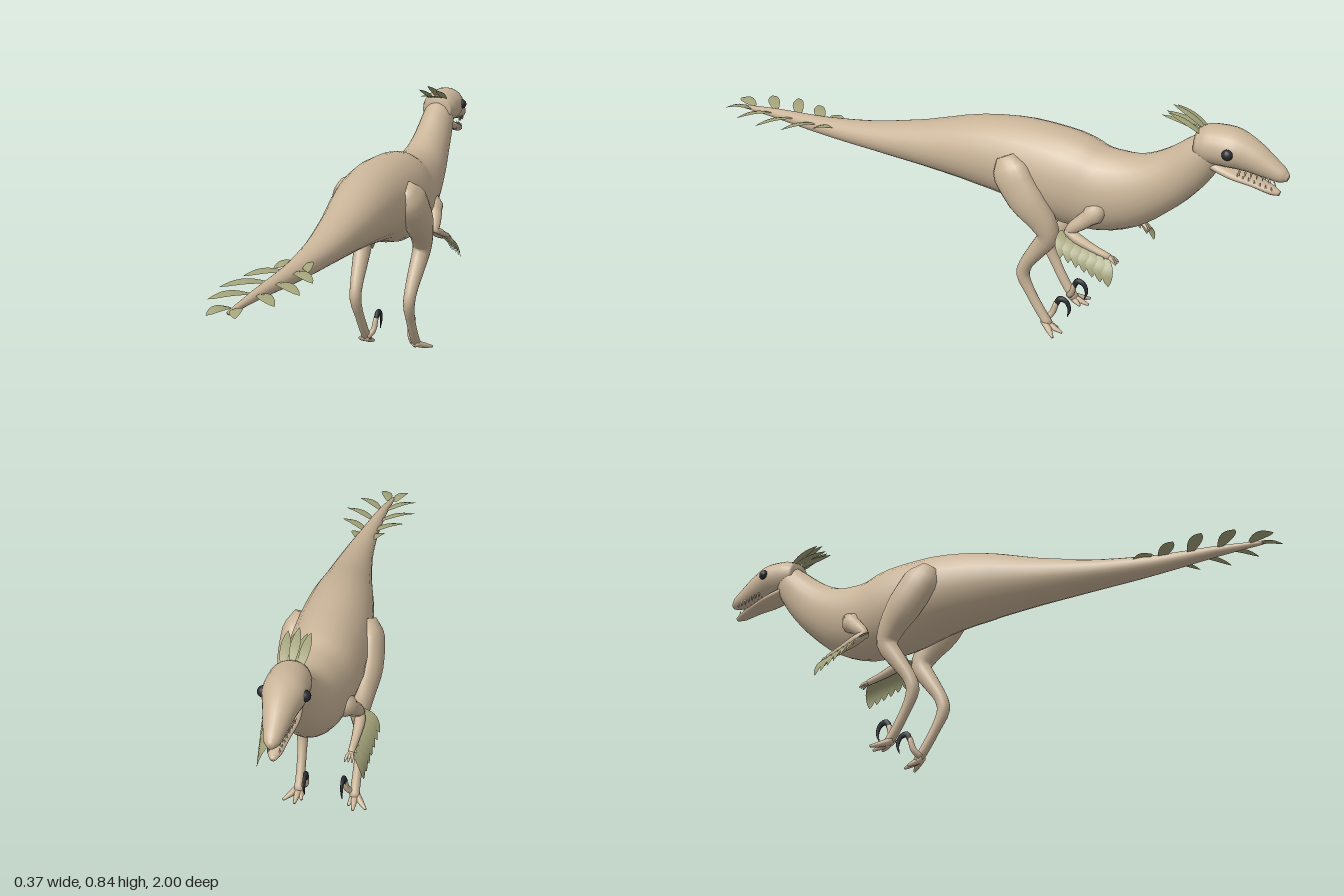
import * as THREE from 'three';

const V = (a) => new THREE.Vector3(a[0], a[1], a[2]);
const mat = (name, color, extra = {}) => {
  const m = new THREE.MeshStandardMaterial({ color, ...extra });
  m.name = name;
  return m;
};

// Smooth tube through sections [x, y, z, half width, half height], closed at both ends
function loft(sections, sub = 3, sides = 16) {
  const path = new THREE.CatmullRomCurve3(sections.map(V));
  const size = new THREE.CatmullRomCurve3(sections.map((s) => new THREE.Vector3(s[3], s[4] ?? s[3], 0)));
  const rows = (sections.length - 1) * sub;
  const pos = [], idx = [];
  for (let i = 0; i <= rows; i++) {
    const p = path.getPoint(i / rows), t = path.getTangent(i / rows), r = size.getPoint(i / rows);
    const s = new THREE.Vector3(1, 0, 0).addScaledVector(t, -t.x).normalize();
    const u = new THREE.Vector3().crossVectors(t, s);
    for (let j = 0; j < sides; j++) {
      const a = (j / sides) * Math.PI * 2;
      const q = p.clone().addScaledVector(s, Math.cos(a) * r.x).addScaledVector(u, Math.sin(a) * r.y);
      pos.push(q.x, q.y, q.z);
    }
  }
  for (let i = 0; i < rows; i++) {
    for (let j = 0; j < sides; j++) {
      const k = (j + 1) % sides;
      const a = i * sides + j, b = i * sides + k, c = a + sides, d = b + sides;
      idx.push(a, b, c, b, d, c);
    }
  }
  const first = pos.length / 3, last = rows * sides;
  pos.push(...path.getPoint(0).toArray(), ...path.getPoint(1).toArray());
  for (let j = 0; j < sides; j++) {
    const k = (j + 1) % sides;
    idx.push(first, k, j, first + 1, last + j, last + k);
  }
  const g = new THREE.BufferGeometry();
  g.setAttribute('position', new THREE.Float32BufferAttribute(pos, 3));
  g.setIndex(idx);
  g.computeVertexNormals();
  return g;
}

// Thin leaf-shaped blade from root to tip; "across" gives the direction of its width
function feather(root, tip, across, half, bend = 0.008) {
  const a = V(root), d = V(tip).sub(a), dir = d.clone().normalize();
  const w = V(across);
  w.addScaledVector(dir, -w.dot(dir)).normalize();
  const n = new THREE.Vector3().crossVectors(dir, w);
  if (n.y < 0) n.negate();
  const pos = [], idx = [], rows = 8;
  for (let i = 0; i <= rows; i++) {
    const t = i / rows, h = half * Math.pow(Math.sin(Math.PI * (0.06 + 0.94 * t)), 0.75) || 0;
    const c = a.clone().addScaledVector(d, t).addScaledVector(n, bend * Math.sin(Math.PI * t));
    for (const e of [-1, 0, 1]) {
      const q = c.clone().addScaledVector(w, e * h).addScaledVector(n, e ? -h * 0.15 : 0);
      pos.push(q.x, q.y, q.z);
    }
    if (i < rows) for (const k of [i * 3, i * 3 + 1]) idx.push(k, k + 1, k + 3, k + 1, k + 4, k + 3);
  }
  const g = new THREE.BufferGeometry();
  g.setAttribute('position', new THREE.Float32BufferAttribute(pos, 3));
  g.setIndex(idx);
  g.computeVertexNormals();
  return g;
}

export function createModel() {
  const root = new THREE.Group();
  const skin = mat('skin', 0xc9b498);
  const plume = mat('feather', 0xa2a27a, { side: THREE.DoubleSide });
  const dark = mat('claw', 0x2a2b2d);
  const ivory = mat('tooth', 0xe6dfc8);
  const add = (name, geo, material) => {
    const m = new THREE.Mesh(geo, material);
    m.name = name;
    root.add(m);
    return m;
  };

  // Tail, trunk and neck in one sweep
  add('body', loft([
    [0, 0.452, 0.945, 0.006, 0.006], [0.016, 0.468, 0.8, 0.017, 0.016],
    [0.03, 0.479, 0.6, 0.032, 0.029], [0.033, 0.495, 0.4, 0.053, 0.046],
    [0.023, 0.515, 0.2, 0.077, 0.075], [0.008, 0.535, 0, 0.104, 0.115],
    [0, 0.536, -0.15, 0.118, 0.136], [0, 0.518, -0.3, 0.121, 0.152],
    [0, 0.507, -0.41, 0.108, 0.14], [0, 0.528, -0.505, 0.094, 0.121],
    [0, 0.57, -0.59, 0.08, 0.096], [0, 0.628, -0.665, 0.066, 0.08],
    [0, 0.695, -0.728, 0.057, 0.066], [0, 0.745, -0.77, 0.05, 0.052],
  ], 3, 24), skin);

  // Skull with upper jaw, and the open lower jaw
  add('head', loft([
    [0, 0.745, -0.722, 0.05, 0.045], [0, 0.747, -0.76, 0.061, 0.06],
    [0, 0.751, -0.82, 0.063, 0.06], [0, 0.739, -0.88, 0.049, 0.05],
    [0, 0.716, -0.94, 0.034, 0.035], [0, 0.7, -0.982, 0.023, 0.023],
    [0, 0.695, -1, 0.009, 0.01],
  ], 4, 24), skin);
  add('lowerJaw', loft([
    [0, 0.695, -0.76, 0.04, 0.02], [0, 0.676, -0.83, 0.044, 0.017],
    [0, 0.66, -0.9, 0.031, 0.013], [0, 0.645, -0.955, 0.02, 0.012],
    [0, 0.64, -0.978, 0.008, 0.007],
  ], 3, 16), skin);

  // Crest on the back of the head
  for (let i = -2; i <= 2; i++) {
    const odd = i % 2 !== 0;
    add('crestFeather', feather([i * 0.012, 0.785 - Math.abs(i) * 0.004, -0.745],
      [i * 0.016, odd ? 0.808 : 0.842 - Math.abs(i) * 0.007, odd ? -0.605 : -0.632],
      [1, 0, 0], 0.014), plume);
  }

  for (const s of [1, -1]) {
    const m = (pts) => pts.map(([x, ...rest]) => [s * x, ...rest]);

    // Eye
    const eye = add('eye', new THREE.SphereGeometry(0.017, 16, 12), dark);
    eye.position.set(s * 0.057, 0.753, -0.832);

    // Teeth along both jaws
    for (let i = 0; i < 7; i++) {
      const t = i / 6, z = -0.865 - 0.1 * t;
      const upper = add('upperTooth', new THREE.ConeGeometry(0.004, 0.018, 6), ivory);
      upper.position.set(s * (0.037 - 0.019 * t), 0.692 - 0.01 * t, z);
      upper.rotation.x = Math.PI;
      const lower = add('lowerTooth', new THREE.ConeGeometry(0.0035, 0.014, 6), ivory);
      lower.position.set(s * (0.031 - 0.016 * t), 0.682 - 0.026 * t, z + 0.008);
    }

    // Leg from hip to foot
    add('leg', loft(m([
      [0.105, 0.59, -0.135, 0.022, 0.03], [0.116, 0.54, -0.163, 0.044, 0.064],
      [0.12, 0.47, -0.215, 0.045, 0.062], [0.113, 0.405, -0.268, 0.037, 0.047],
      [0.106, 0.355, -0.288, 0.031, 0.035], [0.101, 0.29, -0.25, 0.026, 0.028],
      [0.097, 0.225, -0.208, 0.021, 0.022], [0.095, 0.18, -0.196, 0.019, 0.022],
      [0.092, 0.12, -0.222, 0.015, 0.017], [0.09, 0.055, -0.262, 0.015, 0.016],
      [0.09, 0.02, -0.288, 0.016, 0.014],
    ])), skin);

    // Toes, raised inner toe and its sickle claw
    for (const [x, z] of [[0.133, -0.325], [0.094, -0.338], [0.075, -0.315]]) {
      add('toe', loft(m([[0.09, 0.027, -0.27, 0.012], [(x + 0.09) / 2, 0.014, (z - 0.275) / 2, 0.01],
        [x, 0.005, z, 0.004]]), 3, 10), skin);
    }
    add('raisedToe', loft(m([[0.083, 0.03, -0.272, 0.011], [0.067, 0.05, -0.288, 0.01],
      [0.062, 0.09, -0.3, 0.009]]), 3, 10), skin);
    add('sickleClaw', loft(m([[0.062, 0.08, -0.298, 0.008], [0.061, 0.106, -0.312, 0.008, 0.01],
      [0.06, 0.101, -0.334, 0.006, 0.009], [0.06, 0.075, -0.345, 0.004, 0.006],
      [0.06, 0.045, -0.338, 0.001]]), 4, 10), dark);

    // Folded arm and fingers
    add('upperArm', loft(m([[0.075, 0.49, -0.455, 0.026], [0.102, 0.45, -0.42, 0.026],
      [0.117, 0.415, -0.38, 0.02], [0.122, 0.392, -0.36, 0.012]]), 3, 12), skin);
    add('forearm', loft(m([[0.122, 0.402, -0.358, 0.012], [0.125, 0.385, -0.395, 0.017],
      [0.124, 0.365, -0.45, 0.013], [0.12, 0.348, -0.505, 0.01]]), 3, 12), skin);
    for (const k of [-1, 0, 1]) {
      add('finger', loft(m([[0.12, 0.35, -0.5, 0.006], [0.118 + k * 0.008, 0.343, -0.517, 0.005],
        [0.116 + k * 0.011, 0.33, -0.53, 0.002]]), 2, 8), skin);
    }

    // Row of feathers along the forearm
    for (let i = 0; i < 7; i++) {
      const t = i / 6, x = 0.127, y = 0.398 - 0.05 * t, z = -0.345 - 0.155 * t;
      add('armFeather', feather([s * x, y, z],
        [s * (x + 0.056 - 0.02 * t), y - 0.062 - 0.015 * t, z - 0.025],
        [0, 0.5, 1], 0.018, 0.012), plume);
    }

    // Pairs of feathers down the tail: [root z, centre x, reach, root y]
    for (const [z, cx, reach, y] of [[0.52, 0.03, 0.055, 0.493], [0.61, 0.03, 0.108, 0.488],
      [0.71, 0.02, 0.122, 0.48], [0.81, 0.012, 0.1, 0.472], [0.91, 0, 0.043, 0.458]]) {
      add('tailFeather', feather([cx + s * 0.012, y, z], [cx + s * reach, y - 0.004, z + 0.085],
        [s, 0.25, -1], 0.019, 0.012), plume);
    }
  }
  return root;
}
